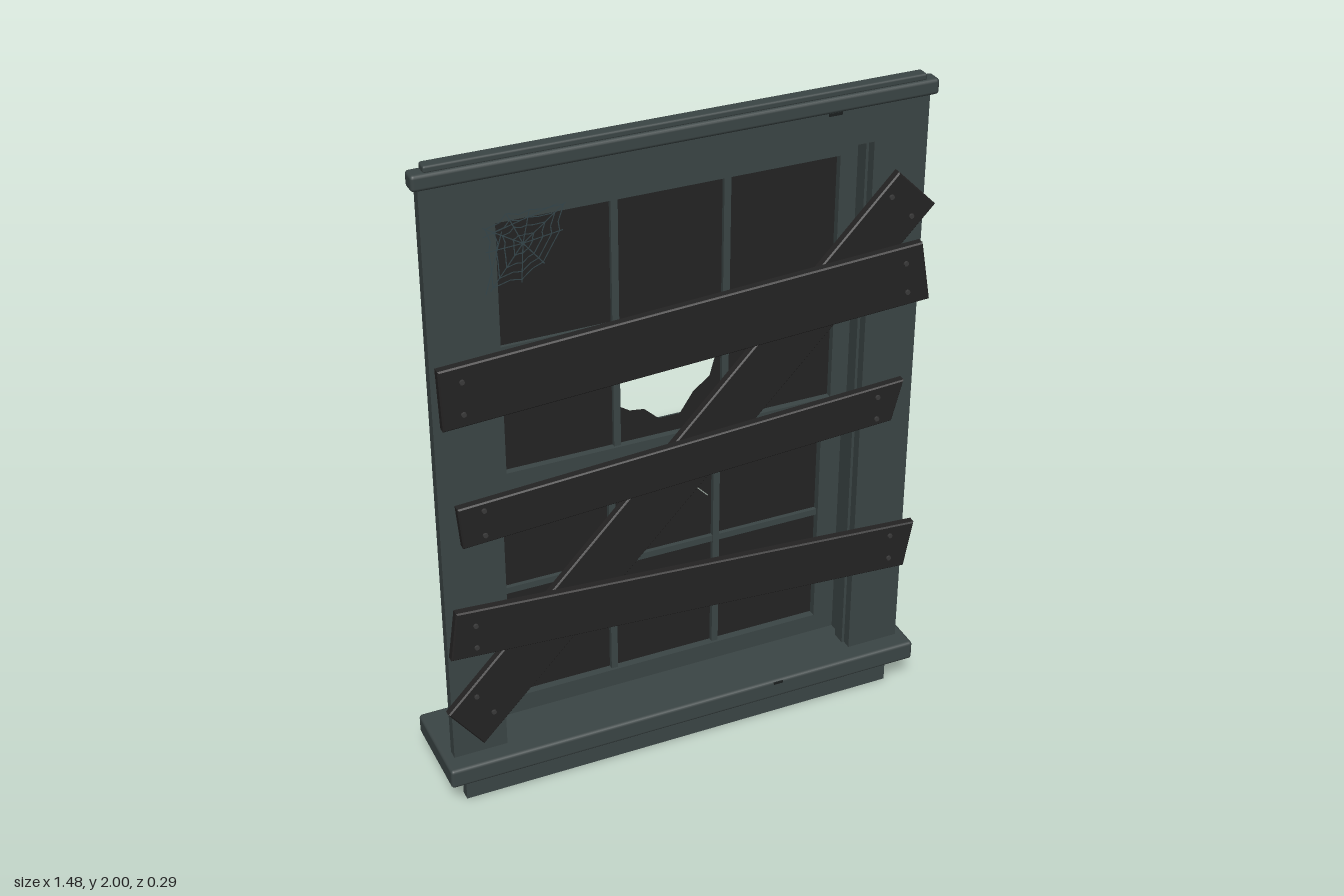
import * as THREE from 'three';
import { RoundedBoxGeometry } from 'three/addons/geometries/RoundedBoxGeometry.js';
import { mergeGeometries } from 'three/addons/utils/BufferGeometryUtils.js';

const mat = (name, color, side = THREE.FrontSide) => {
  const m = new THREE.MeshStandardMaterial({ color, side });
  m.name = name;
  return m;
};

export function createModel() {
  const model = new THREE.Group();
  model.name = 'boardedWindow';
  const frameMat = mat('slatePaint', 0x3b4545);
  const boardMat = mat('darkBoard', 0x242323);
  const glassMat = mat('darkGlass', 0x232323, THREE.DoubleSide);
  const nailMat = mat('nailIron', 0x3a3a3a);
  const webMat = mat('cobweb', 0x35454a, THREE.DoubleSide);
  const chipMat = mat('chippedWood', 0x1b1f1f);

  const add = (name, geo, material, parent = model) => {
    const mesh = new THREE.Mesh(geo, material);
    mesh.name = name;
    parent.add(mesh);
    return mesh;
  };
  // Box given by its limits on each axis, optionally with rounded edges
  const box = (name, x0, x1, y0, y1, z0, z1, parent = model, r = 0, material = frameMat) => {
    const s = [x1 - x0, y1 - y0, z1 - z0];
    const geo = r ? new RoundedBoxGeometry(...s, 2, r) : new THREE.BoxGeometry(...s);
    add(name, geo, material, parent).position.set((x0 + x1) / 2, (y0 + y1) / 2, (z0 + z1) / 2);
  };
  const poly = (pts) => pts.map(([x, y]) => new THREE.Vector2(x, y));
  // Four corners of a thin line from a to b
  const strip = (a, b, w) => {
    const dx = b[0] - a[0], dy = b[1] - a[1], l = Math.hypot(dx, dy);
    const nx = (-dy / l) * w / 2, ny = (dx / l) * w / 2;
    return poly([[a[0] + nx, a[1] + ny], [a[0] - nx, a[1] - ny],
      [b[0] - nx, b[1] - ny], [b[0] + nx, b[1] + ny]]);
  };

  // Sill, apron, head casing and cap mouldings
  box('sill', -0.74, 0.74, 0.1, 0.162, -0.143, 0.143, model, 0.01);
  box('apron', -0.68, 0.68, 0, 0.1, 0.055, 0.085);
  box('headCasing', -0.55, 0.55, 1.83, 1.94, 0.055, 0.085);
  box('capMoulding', -0.73, 0.73, 1.938, 1.983, 0.05, 0.1, model, 0.01);
  box('capTop', -0.695, 0.695, 1.98, 2, 0.055, 0.092, model, 0.006);

  // Side casings, deep jambs and stops, mirrored
  for (const s of [-1, 1]) {
    const side = (name, a, b, ...rest) => box(name, Math.min(s * a, s * b), Math.max(s * a, s * b), ...rest);
    side('sideCasing', 0.55, 0.71, 0.16, 1.94, 0.055, 0.085);
    side('jamb', 0.555, 0.575, 0.16, 1.83, -0.143, 0.055);
    side('jambStop', 0.542, 0.556, 0.16, 1.83, 0.012, 0.056);
  }
  box('jambHead', -0.575, 0.575, 1.83, 1.853, -0.143, 0.055);

  // A sash: stiles, rails, glazing bars
  const sash = (name, y0, y1, g0, g1, z0, z1) => {
    const g = new THREE.Group();
    g.name = name;
    model.add(g);
    for (const s of [-1, 1]) {
      box('stile', s < 0 ? -0.555 : 0.49, s < 0 ? -0.49 : 0.555, y0, y1, z0, z1, g);
      box('verticalBar', s * 0.162 - 0.01, s * 0.162 + 0.01, g0, g1, z0 + 0.008, z1 - 0.008, g);
    }
    box('bottomRail', -0.49, 0.49, y0, g0, z0, z1, g);
    box('topRail', -0.49, 0.49, g1, y1, z0, z1, g);
    const m = (g0 + g1) / 2;
    box('crossBar', -0.49, 0.49, m - 0.01, m + 0.01, z0 + 0.01, z1 - 0.01, g);
    return g;
  };
  const upperSash = sash('upperSash', 0.96, 1.83, 1.02, 1.77, -0.028, 0.012);
  const lowerSash = sash('lowerSash', 0.162, 1.025, 0.22, 0.965, -0.08, -0.034);

  const glass = (name, y0, y1, z, holes, parent) => {
    const shape = new THREE.Shape(poly([[-0.495, y0], [0.495, y0], [0.495, y1], [-0.495, y1]]));
    holes.forEach((h) => shape.holes.push(new THREE.Path(h)));
    add(name, new THREE.ShapeGeometry(shape), glassMat, parent).position.z = z;
  };
  // Smashed hole in the upper glass
  glass('upperGlass', 1.01, 1.78, -0.008, [poly([[-0.154, 1.138], [-0.154, 1.23], [-0.114, 1.296],
    [-0.01, 1.312], [0.1, 1.3], [0.14, 1.243], [0.12, 1.17], [0.07, 1.13], [0.03, 1.07],
    [-0.034, 1.07], [-0.077, 1.11], [-0.12, 1.116]])], upperSash);

  // Star crack in the lower glass: open slits along rays and two rings
  const hub = [0.045, 0.84];
  const rays = [[0.42, 0.11], [1.15, 0.09], [1.9, 0.1], [2.75, 0.11], [3.5, 0.1], [4.15, 0.2], [4.75, 0.1], [5.47, 0.14]];
  const at = (a, r, c = hub) => [c[0] + Math.cos(a) * r, c[1] + Math.sin(a) * r];
  const slits = [];
  rays.forEach(([a, len], i) => {
    slits.push(strip(at(a, 0.015), at(a, len), 0.003));
    const b = i < rays.length - 1 ? rays[i + 1][0] : rays[0][0] + Math.PI * 2;
    for (const r of i % 2 ? [0.04] : [0.036, 0.075]) {
      const gap = (b - a) * 0.14;
      slits.push(strip(at(a + gap, r), at(b - gap, r * 1.05), 0.003));
    }
  });
  glass('lowerGlass', 0.21, 0.975, -0.057, slits, lowerSash);

  // Nailed boards: four corners, back z, nail spots
  const boards = [
    ['topBoard', [[-0.706, 1.455], [0.685, 1.53], [0.717, 1.35], [-0.7, 1.275]], 0.113,
      [[-0.643, 1.413], [-0.643, 1.317], [0.635, 1.477], [0.645, 1.387]]],
    ['middleBoard', [[-0.675, 1.03], [0.653, 1.106], [0.62, 0.98], [-0.664, 0.902]], 0.113,
      [[-0.602, 1.01], [-0.602, 0.932], [0.57, 1.07], [0.57, 1.0]]],
    ['bottomBoard', [[-0.696, 0.698], [0.717, 0.608], [0.69, 0.46], [-0.717, 0.545]], 0.113,
      [[-0.643, 0.645], [-0.643, 0.572], [0.637, 0.582], [0.637, 0.503]]],
    ['diagonalBoard', [[-0.727, 0.339], [0.616, 1.74], [0.733, 1.624], [-0.627, 0.206]], 0.085,
      [[-0.643, 0.381], [-0.595, 0.312], [0.595, 1.672], [0.659, 1.603]]],
  ];
  for (const [name, pts, z, nails] of boards) {
    const g = new THREE.Group();
    g.name = name;
    model.add(g);
    const geo = new THREE.ExtrudeGeometry(new THREE.Shape(poly(pts)), {
      depth: 0.02, bevelEnabled: true, bevelThickness: 0.004, bevelSize: 0.004, bevelOffset: -0.004, bevelSegments: 1,
    });
    add('plank', geo, boardMat, g).position.z = z + 0.004;
    for (const [x, y] of nails) {
      const nail = add('nail', new THREE.CylinderGeometry(0.007, 0.008, 0.006, 8), nailMat, g);
      nail.rotation.x = Math.PI / 2;
      nail.position.set(x, y, z + 0.03);
    }
  }

  // Cobweb in the upper corner: uneven spokes and sagging rings
  const webHub = [-0.435, 1.725];
  const spokes = [[0.15, 0.11], [0.66, 0.155], [1.35, 0.1], [2.0, 0.11], [2.6, 0.125],
    [3.2, 0.1], [4.05, 0.15], [4.65, 0.11], [5.4, 0.09]];
  const threads = [];
  const thread = (a, b) => threads.push(new THREE.ShapeGeometry(new THREE.Shape(strip(a, b, 0.003))));
  spokes.forEach(([a, len], i) => {
    thread(webHub, at(a, len, webHub));
    const [b, len2] = spokes[(i + 1) % spokes.length];
    const end = b < a ? b + Math.PI * 2 : b;
    for (const f of [0.25, 0.5, 0.72, 0.92]) {
      const mid = at((a + end) / 2, (len + len2) * 0.43 * f, webHub);
      thread(at(a, len * f, webHub), mid);
      thread(mid, at(b, len2 * f, webHub));
    }
  });
  thread([-0.54, 1.6], [-0.49, 1.77]);
  thread([-0.55, 1.76], [-0.31, 1.825]);
  add('cobweb', mergeGeometries(threads), webMat).position.z = 0.06;

  // Small chips in the paint
  box('headChip', 0.41, 0.45, 1.926, 1.934, 0.084, 0.087, model, 0, chipMat);
  box('sillChip', 0.27, 0.3, 0.15, 0.157, 0.141, 0.145, model, 0, chipMat);
  box('jambChip', 0.573, 0.577, 0.36, 0.4, 0.036, 0.05, model, 0, chipMat);

  return model;
}
